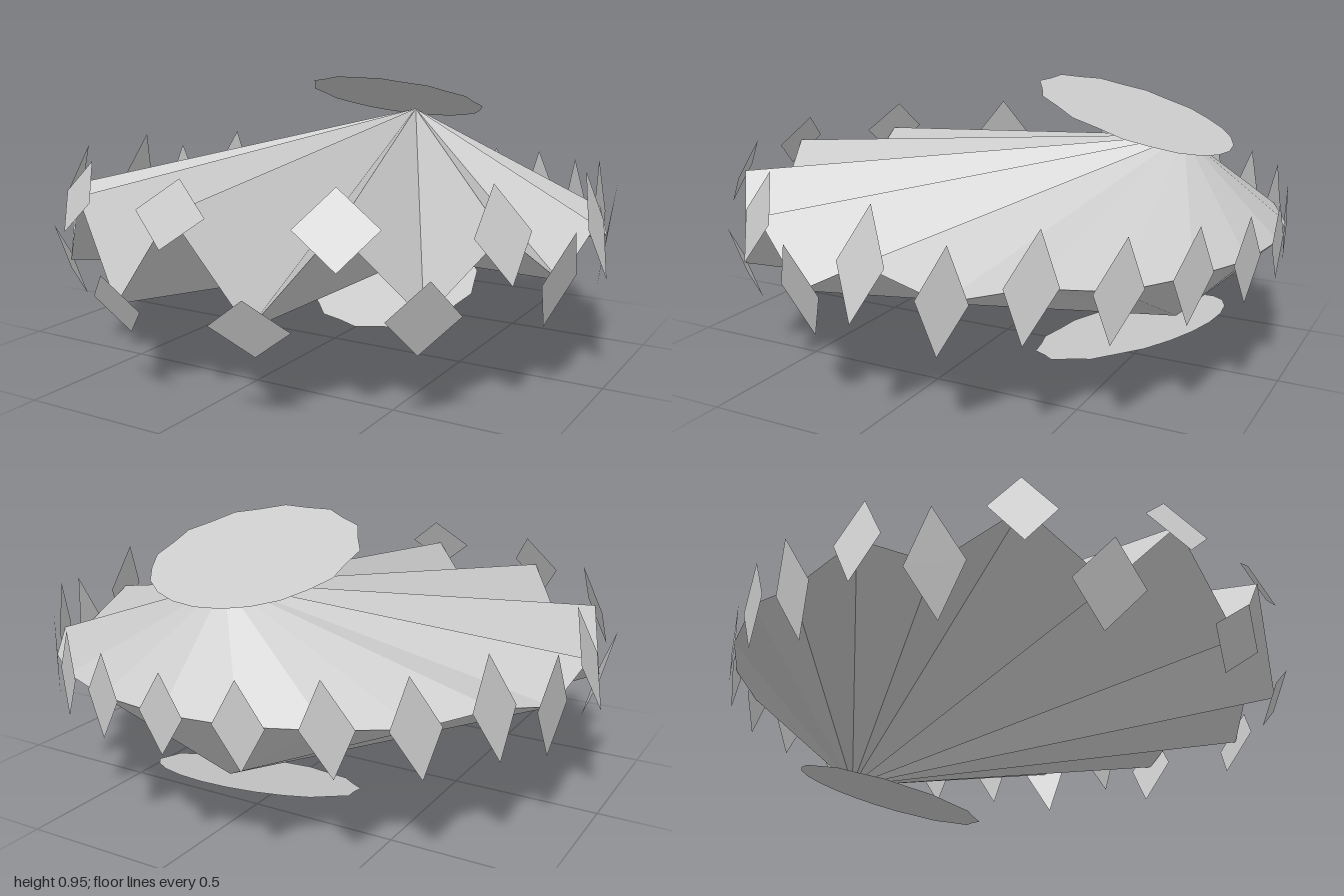
import * as THREE from 'three';

const N = 24;          // rim points
const R = 0.945;       // rim radius
const CY = 0.475;      // mid height
const CZ = -0.024;     // rim centre along z

const gray = (side) => new THREE.MeshStandardMaterial({ color: 0xcccccc, flatShading: true, side });

function meshFrom(points, name, side = THREE.FrontSide) {
  const geo = new THREE.BufferGeometry().setFromPoints(points);
  geo.computeVertexNormals();
  const mesh = new THREE.Mesh(geo, gray(side));
  mesh.name = name;
  return mesh;
}

// angle from the front (+z) toward +x, and its distance from the front
const angle = (i) => (i / N) * Math.PI * 2;
const fromFront = (i) => Math.min(i % N, N - (i % N)) * (360 / N);

// zigzag rim: deep pleats at the front fading to flat at the back
function rimPoint(i) {
  const a = angle(i);
  const fade = Math.pow((1 + Math.cos(a)) / 2, 1.6);
  const y = CY + (i % 2 === 0 ? 1 : -1) * 0.157 * fade;
  return new THREE.Vector3(R * Math.sin(a), y, CZ + R * Math.cos(a));
}

// pleated body: two fans from the off-centre peaks to a shared rim
function makeBody() {
  const top = new THREE.Vector3(0, 0.79, -0.645);
  const bottom = new THREE.Vector3(0, 0.165, -0.645);
  const pts = [];
  for (let i = 0; i < N; i++) {
    const a = rimPoint(i), b = rimPoint((i + 1) % N);
    pts.push(top, a, b, bottom, b, a);
  }
  return meshFrom(pts, 'pleatedBody');
}

// diamond plate on each rim point, leaning with its pleat
function makeSpike(i) {
  const a = angle(i), deg = fromFront(i);
  const c = rimPoint(i);
  const out = new THREE.Vector3(Math.sin(a), 0, Math.cos(a));
  const tan = new THREE.Vector3(Math.cos(a), 0, -Math.sin(a));
  const { lerp, smoothstep } = THREE.MathUtils;
  const halfLength = deg < 110
    ? lerp(0.095, 0.175, smoothstep(deg, 0, 110))
    : lerp(0.175, 0.125, (deg - 110) / 70);
  const halfWidth = lerp(0.125, 0.078, smoothstep(deg, 20, 105));
  const lean = 0.05 * (1 - smoothstep(deg, 80, 130)) * (i % 2 === 0 ? -1 : 1);
  const twist = 0.15 * smoothstep(deg, 70, 110) * (1 - smoothstep(deg, 140, 180));
  const side = i < N / 2 ? 1 : -1;
  const up = new THREE.Vector3(0, halfLength, 0)
    .addScaledVector(out, lean)
    .addScaledVector(tan, side * twist * halfLength);
  const wide = tan.multiplyScalar(halfWidth);
  const t = c.clone().add(up), b = c.clone().sub(up);
  const p = c.clone().add(wide), q = c.clone().sub(wide);
  return meshFrom([t, q, p, b, p, q], 'rimDiamond', THREE.DoubleSide);
}

// flat scalloped disc, tilted so that it opens away from the body at the front
function makeDisc(sign, name) {
  const tilt = 0.303;
  const centre = new THREE.Vector3(0, CY + sign * 0.375, -0.476);
  const edge = (i) => {
    const a = angle(i);
    const notch = (i % 2 === 0) === (sign > 0)
      ? 0.045 * (1 - THREE.MathUtils.smoothstep(fromFront(i), 90, 140)) : 0;
    const r = 0.337 * (1 - notch);
    const along = r * Math.cos(a);
    return new THREE.Vector3(r * Math.sin(a), sign * along * Math.sin(tilt), along * Math.cos(tilt)).add(centre);
  };
  const pts = [];
  for (let i = 0; i < N; i++) {
    const a = edge(i), b = edge((i + 1) % N);
    if (sign > 0) pts.push(centre, a, b);
    else pts.push(centre, b, a);
  }
  return meshFrom(pts, name, THREE.DoubleSide);
}

export function createModel() {
  const model = new THREE.Group();
  model.name = 'pleatedShell';
  model.add(makeBody());

  const spikes = new THREE.Group();
  spikes.name = 'rimDiamonds';
  for (let i = 0; i < N; i++) spikes.add(makeSpike(i));
  model.add(spikes);

  model.add(makeDisc(1, 'topDisc'), makeDisc(-1, 'bottomDisc'));
  return model;
}
